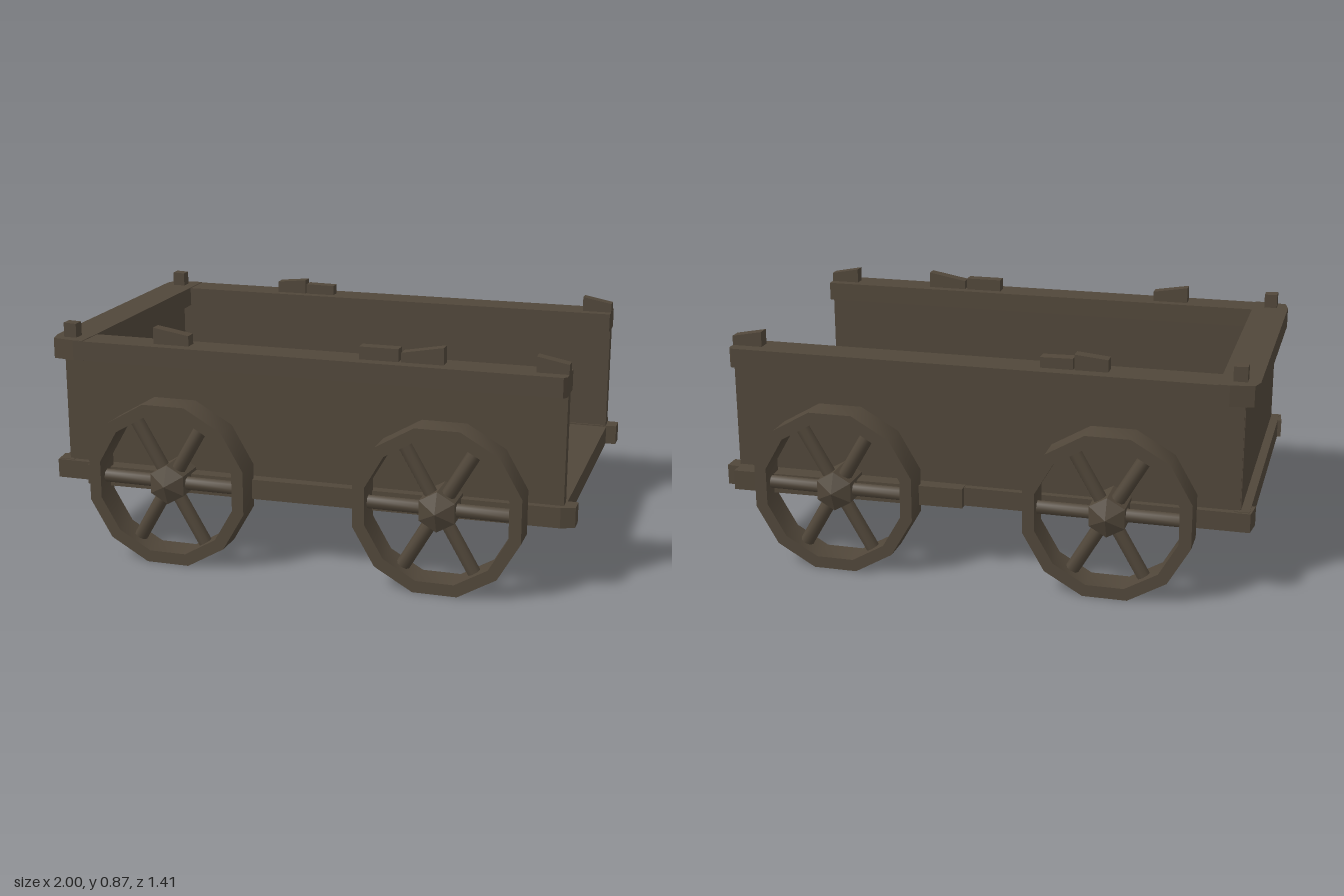
import * as THREE from 'three';
import { toCreasedNormals } from 'three/addons/utils/BufferGeometryUtils.js';

const wood = new THREE.MeshStandardMaterial({ color: 0x51473a });
wood.name = 'darkWood';

function add(parent, name, geometry) {
  const mesh = new THREE.Mesh(geometry, wood);
  mesh.name = name;
  parent.add(mesh);
  return mesh;
}

// Box given by its limits on each axis
function box(parent, name, [x0, x1], [y0, y1], [z0, z1]) {
  const mesh = add(parent, name, new THREE.BoxGeometry(x1 - x0, y1 - y0, z1 - z0));
  mesh.position.set((x0 + x1) / 2, (y0 + y1) / 2, (z0 + z1) / 2);
}

const outline = (points) => new THREE.Shape(points.map(([a, b]) => new THREE.Vector2(a, b)));

// Plank from an (x, z) outline, between heights y0 and y1
function plank(parent, name, points, y0, y1) {
  const geo = new THREE.ExtrudeGeometry(outline(points), { depth: y1 - y0, bevelEnabled: false });
  geo.rotateX(Math.PI / 2).translate(0, y1, 0);
  add(parent, name, geo);
}

// Block on the rail whose top slopes from height h0 at x0 to h1 at x1
function stub(parent, name, x0, x1, h0, h1, z) {
  const geo = new THREE.ExtrudeGeometry(outline([[x0, 0.78], [x1, 0.78], [x1, h1], [x0, h0]]),
    { depth: 0.046, bevelEnabled: false });
  add(parent, name, geo.translate(0, 0, z - 0.023));
}

function polygonPoints(radius) {
  return Array.from({ length: 12 }, (_, i) => {
    const a = (i + 0.5) * Math.PI / 6;
    return [radius * Math.cos(a), radius * Math.sin(a)];
  });
}

// Wheel facing +z, z measured from its inner face
function makeWheel() {
  const wheel = new THREE.Group();
  const ring = outline(polygonPoints(0.316));
  ring.holes.push(outline(polygonPoints(0.27)));
  const rim = new THREE.ExtrudeGeometry(ring, { depth: 0.112, bevelEnabled: false });
  add(wheel, 'rim', toCreasedNormals(rim, 0.7));

  for (let i = 0; i < 6; i++) {
    const spoke = new THREE.CylinderGeometry(0.026, 0.026, 0.24, 8);
    spoke.translate(0, 0.15, 0).rotateZ(i * Math.PI / 3 + Math.PI / 6).translate(0, 0, 0.055);
    add(wheel, 'spoke', toCreasedNormals(spoke, 0.9));
  }

  // Six-sided hub with a pointed cap, reaching back to the side wall
  const hub = new THREE.CylinderGeometry(0.075, 0.075, 0.13, 6);
  hub.rotateX(Math.PI / 2).translate(0, 0, 0.032);
  add(wheel, 'hub', toCreasedNormals(hub, 0.5));
  const cap = new THREE.ConeGeometry(0.075, 0.032, 6);
  cap.rotateX(Math.PI / 2).translate(0, 0, 0.113);
  add(wheel, 'hubCap', toCreasedNormals(cap, 0.2));
  return wheel;
}

export function createModel() {
  const cart = new THREE.Group();
  cart.name = 'cart';

  // Floor and the sills around it
  box(cart, 'floor', [-0.96, 0.96], [0.252, 0.325], [-0.5, 0.5]);
  plank(cart, 'endSill', [[-0.985, -0.56], [-0.93, -0.56], [-0.93, 0.56], [-0.985, 0.56]], 0.255, 0.33);
  plank(cart, 'frontSill', [[-0.85, 0.49], [1, 0.49], [1, 0.55], [0.95, 0.57], [-0.85, 0.605]], 0.255, 0.33);
  plank(cart, 'frontSillEnd', [[-1, 0.49], [-0.84, 0.49], [-0.84, 0.57], [-0.99, 0.57]], 0.257, 0.328);
  plank(cart, 'backSill', [[-0.99, -0.57], [0.1, -0.57], [0.1, -0.49], [-1, -0.49]], 0.257, 0.328);
  plank(cart, 'backSillHalf', [[0.06, -0.595], [0.95, -0.62], [0.95, -0.49], [0.06, -0.49]], 0.255, 0.33);
  plank(cart, 'backSillEnd', [[0.9, -0.57], [1, -0.565], [1, -0.5], [0.9, -0.49]], 0.252, 0.328);

  // Walls on three sides, open at +x
  for (const s of [-1, 1]) {
    box(cart, 'sideWall', [-0.95, 0.957], [0.3, 0.75], s < 0 ? [-0.545, -0.497] : [0.497, 0.545]);
  }
  box(cart, 'endWall', [-0.953, -0.905], [0.3, 0.75], [-0.54, 0.54]);

  // Top rails
  plank(cart, 'backRail', [[-0.9, -0.597], [0.945, -0.597], [0.957, -0.58], [0.957, -0.465], [-0.9, -0.465]], 0.73, 0.803);
  plank(cart, 'frontRail', [[-0.9, 0.455], [0.957, 0.455], [0.957, 0.57], [0.945, 0.585], [-0.9, 0.58]], 0.73, 0.803);
  plank(cart, 'endRail', [[-1, -0.54], [-0.985, -0.585], [-0.9, -0.597], [-0.86, -0.597], [-0.86, 0.58],
    [-0.9, 0.58], [-0.985, 0.565], [-1, 0.5]], 0.728, 0.805);

  // Corner posts and stubs standing on the rails
  for (const z of [-0.525, 0.515]) {
    stub(cart, 'cornerPost', -0.955, -0.905, 0.86, 0.858, z);
    stub(cart, 'openEndPost', 0.842, 0.957, 0.86, 0.838, z);
  }
  const stubs = [
    [-0.59, -0.45, 0.865, 0.842, 0.515], [0.205, 0.35, 0.85, 0.85, 0.515], [0.36, 0.515, 0.838, 0.866, 0.515],
    [-0.467, -0.345, 0.848, 0.86, -0.525], [-0.34, -0.22, 0.844, 0.842, -0.525],
  ];
  for (const s of stubs) stub(cart, 'railStub', ...s);

  // Four wheels
  for (const s of [-1, 1]) {
    for (const x of [-0.495, 0.53]) {
      const wheel = makeWheel();
      wheel.name = 'wheel';
      wheel.position.set(x, 0.305, s * 0.575);
      if (s < 0) wheel.rotation.y = Math.PI;
      cart.add(wheel);
    }
  }
  return cart;
}
